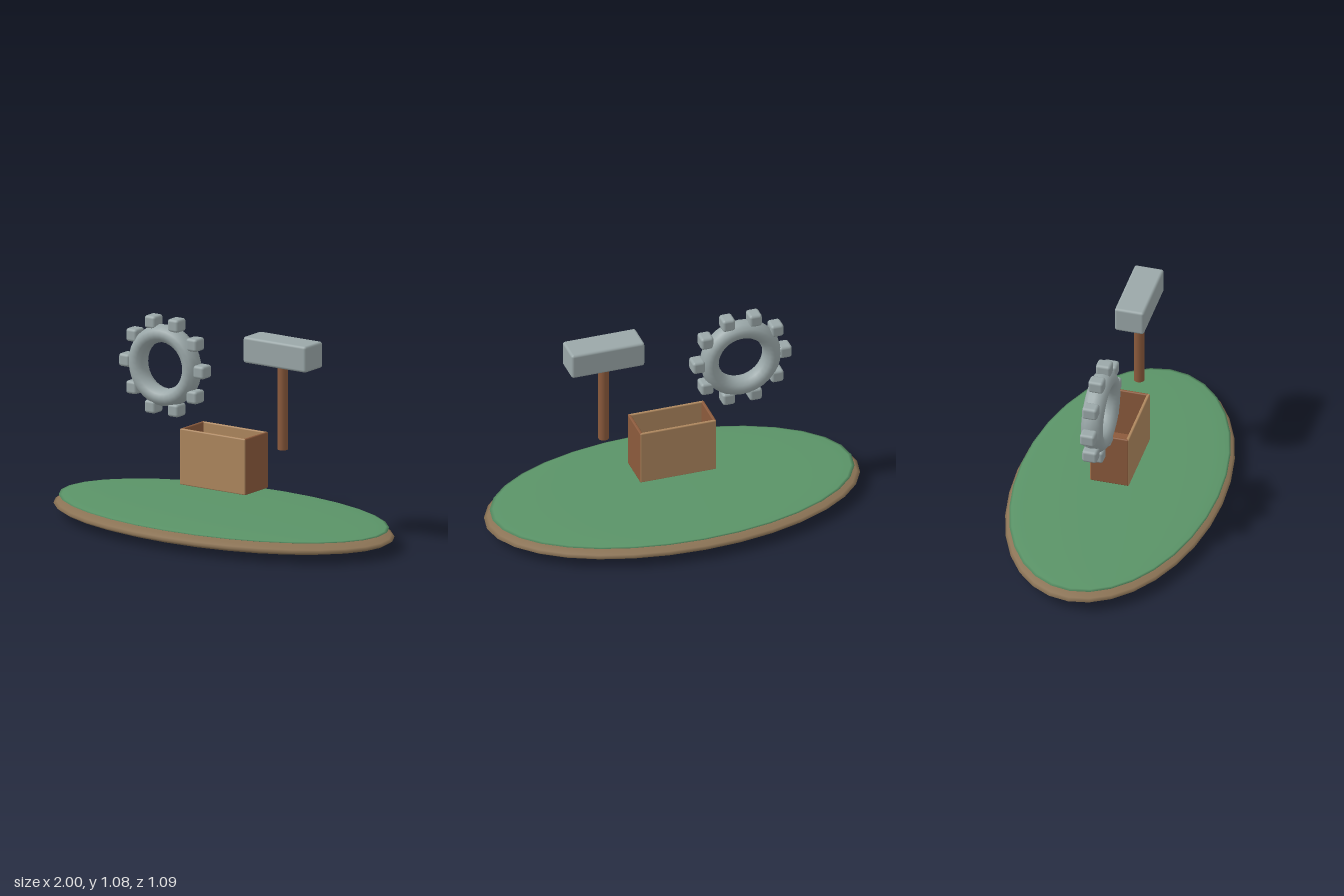
import * as THREE from 'three';
import { RoundedBoxGeometry } from 'three/addons/geometries/RoundedBoxGeometry.js';

const mat = (color) => new THREE.MeshStandardMaterial({ color });

export function createModel() {
  const model = new THREE.Group();
  const soil = mat(0x8b7355), grass = mat(0x5a9367), metal = mat(0x9aa7a8);
  const wood = mat(0x8b5a3c), paleWood = mat(0xae875e);

  function add(name, geometry, material, x, y, z, parent = model) {
    const mesh = new THREE.Mesh(geometry, material);
    mesh.name = name;
    mesh.position.set(x, y, z);
    parent.add(mesh);
    return mesh;
  }
  function group(name, x, y, z) {
    const g = new THREE.Group();
    g.name = name;
    g.position.set(x, y, z);
    model.add(g);
    return g;
  }
  const block = (w, h, d, r) => new RoundedBoxGeometry(w, h, d, 2, r);

  // Flattened oval island with a thin grass layer
  const disc = new THREE.SphereGeometry(1, 32, 16);
  add('soilBase', disc, soil, 0, 0.06, 0).scale.set(1, 0.06, 0.545);
  add('grassTop', disc, grass, 0, 0.105, 0).scale.set(0.97, 0.017, 0.525);

  // Open crate: pale front and back, darker ends and floor
  const crate = group('crate', 0, 0.383, 0);
  for (const s of [1, -1]) {
    add(s > 0 ? 'crateFront' : 'crateBack', block(0.41, 0.295, 0.016, 0.006), paleWood, 0, 0, s * 0.095, crate);
    add(s > 0 ? 'crateLeftEnd' : 'crateRightEnd', block(0.016, 0.295, 0.202, 0.006), wood, s * 0.198, 0, 0, crate);
  }
  add('crateFloor', new THREE.BoxGeometry(0.39, 0.02, 0.19), wood, 0, -0.136, 0, crate);

  // Gear wheel: ring with ten upright block teeth
  const gear = group('gear', -0.37, 0.82, 0);
  add('gearRing', new THREE.TorusGeometry(0.168, 0.047, 12, 32), metal, 0, 0, 0, gear).scale.z = 1.23;
  const tooth = block(0.068, 0.068, 0.08, 0.015);
  for (let i = 0; i < 10; i++) {
    const a = (i * Math.PI) / 5;
    add('gearTooth', tooth, metal, 0.234 * Math.cos(a), 0.234 * Math.sin(a), 0, gear);
  }

  // Mallet
  const hammer = group('hammer', 0.37, 0, 0);
  add('hammerHead', block(0.395, 0.138, 0.156, 0.014), metal, 0, 0.993, 0, hammer);
  add('hammerHandle', new THREE.CylinderGeometry(0.028, 0.028, 0.48, 16), wood, 0, 0.722, 0, hammer);

  return model;
}
